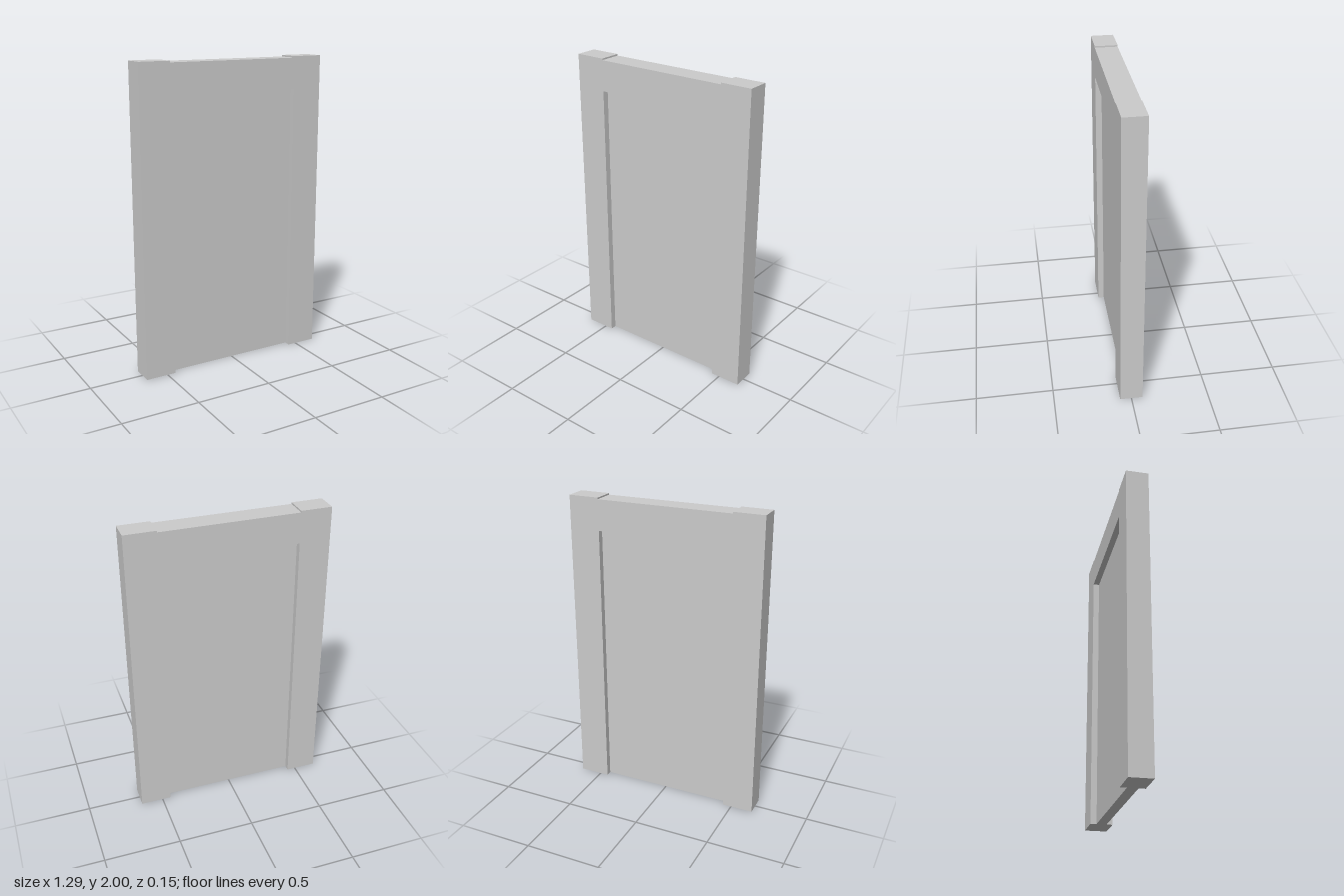
import * as THREE from 'three';

export function createModel() {
  const group = new THREE.Group();
  const material = new THREE.MeshStandardMaterial({ color: 0xcccccc, flatShading: true });

  const outer = 0.646, inner = 0.444; // half widths of frame and opening
  const depth = 0.147, panelDepth = 0.066;
  const openingTop = 1.79, headerTop = 1.99, height = 2;

  // Box given by its x and y limits, centred on z = 0
  function addBox(name, x0, x1, y0, y1, d) {
    const mesh = new THREE.Mesh(new THREE.BoxGeometry(x1 - x0, y1 - y0, d), material);
    mesh.position.set((x0 + x1) / 2, (y0 + y1) / 2, 0);
    mesh.name = name;
    group.add(mesh);
  }

  // Side posts, slightly taller than the header
  addBox('leftPost', inner, outer, 0, height, depth);
  addBox('rightPost', -outer, -inner, 0, height, depth);

  // Header between the posts
  addBox('header', -inner, inner, openingTop, headerTop, depth);

  // Door panel, recessed on both faces
  addBox('doorPanel', -inner, inner, 0, openingTop, panelDepth);

  group.name = 'framedDoor';
  return group;
}
